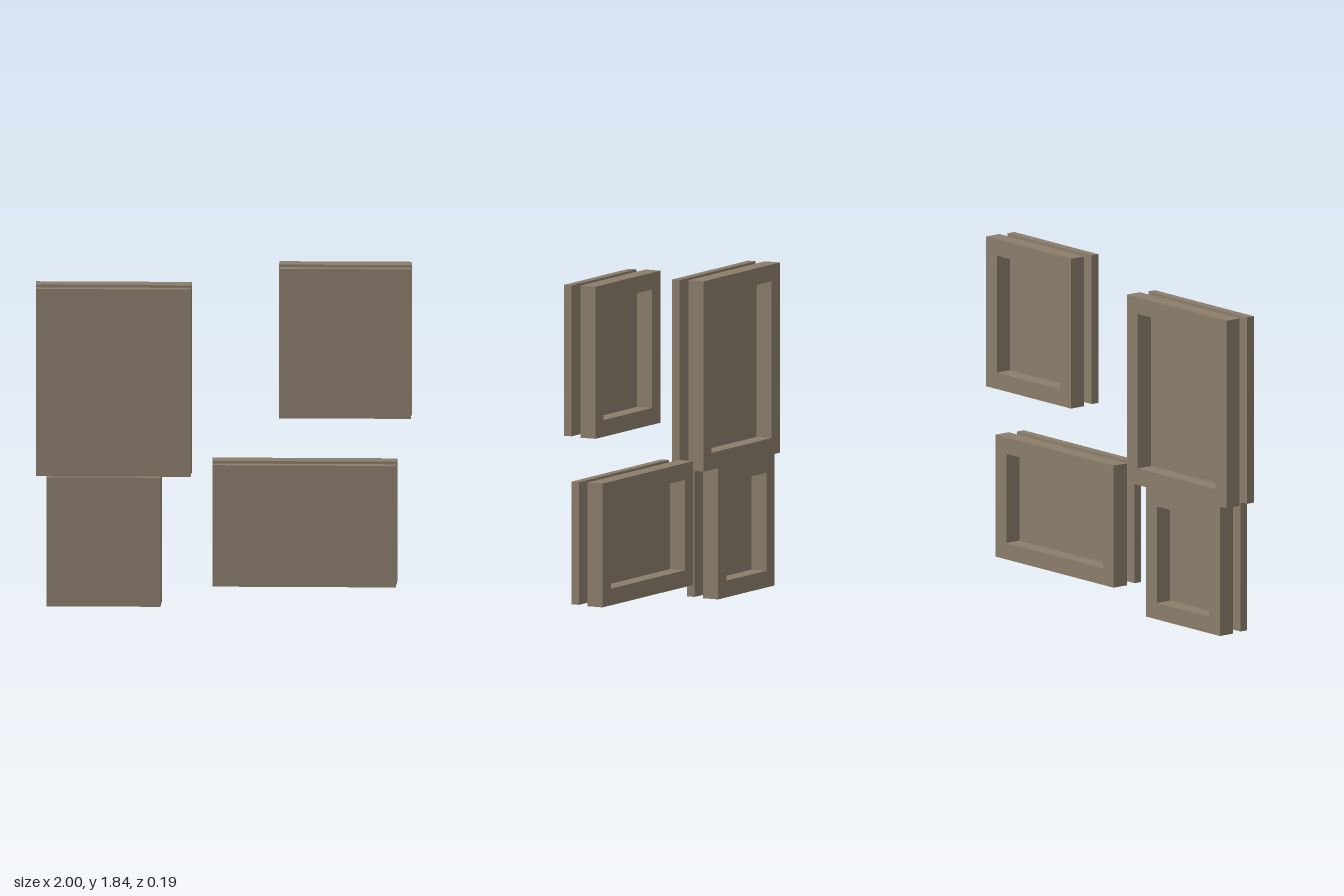
import * as THREE from 'three';

const BORDER = 0.09;
const FRAME_Z = [-0.096, -0.005];
const PANEL_Z = [-0.005, 0.006];
const COVER_Z = [0.05, 0.096];

// x range and y range of each picture frame
const FRAMES = [
  { name: 'largePicture', x: [-1, -0.171], y: [0.706, 1.728] },
  { name: 'smallPicture', x: [-0.944, -0.331], y: [0, 0.706] },
  { name: 'uprightPicture', x: [0.294, 1], y: [1.026, 1.843] },
  { name: 'widePicture', x: [-0.061, 0.921], y: [0.111, 0.776] },
];

function rectangle(PathType, w, h) {
  const path = new PathType();
  path.moveTo(-w / 2, -h / 2);
  path.lineTo(w / 2, -h / 2);
  path.lineTo(w / 2, h / 2);
  path.lineTo(-w / 2, h / 2);
  path.closePath();
  return path;
}

function slab(name, w, h, [z0, z1], material) {
  const mesh = new THREE.Mesh(new THREE.BoxGeometry(w, h, z1 - z0), material);
  mesh.name = name;
  mesh.position.z = (z0 + z1) / 2;
  return mesh;
}

export function createModel() {
  const wood = new THREE.MeshStandardMaterial({ color: 0x8b7d6b });
  wood.name = 'taupe';
  const model = new THREE.Group();
  model.name = 'pictureFrames';

  for (const { name, x, y } of FRAMES) {
    const w = x[1] - x[0];
    const h = y[1] - y[0];
    const picture = new THREE.Group();
    picture.name = name;
    picture.position.set((x[0] + x[1]) / 2, (y[0] + y[1]) / 2, 0);

    // open border at the back
    const shape = rectangle(THREE.Shape, w, h);
    shape.holes.push(rectangle(THREE.Path, w - 2 * BORDER, h - 2 * BORDER));
    const border = new THREE.Mesh(
      new THREE.ExtrudeGeometry(shape, { depth: FRAME_Z[1] - FRAME_Z[0], bevelEnabled: false }),
      wood,
    );
    border.name = 'border';
    border.position.z = FRAME_Z[0];

    // thin panel closing the opening, and the separate slab in front
    picture.add(
      border,
      slab('panel', w - 2 * BORDER + 0.004, h - 2 * BORDER + 0.004, PANEL_Z, wood),
      slab('frontSlab', w - 0.006, h - 0.006, COVER_Z, wood),
    );
    model.add(picture);
  }
  return model;
}
